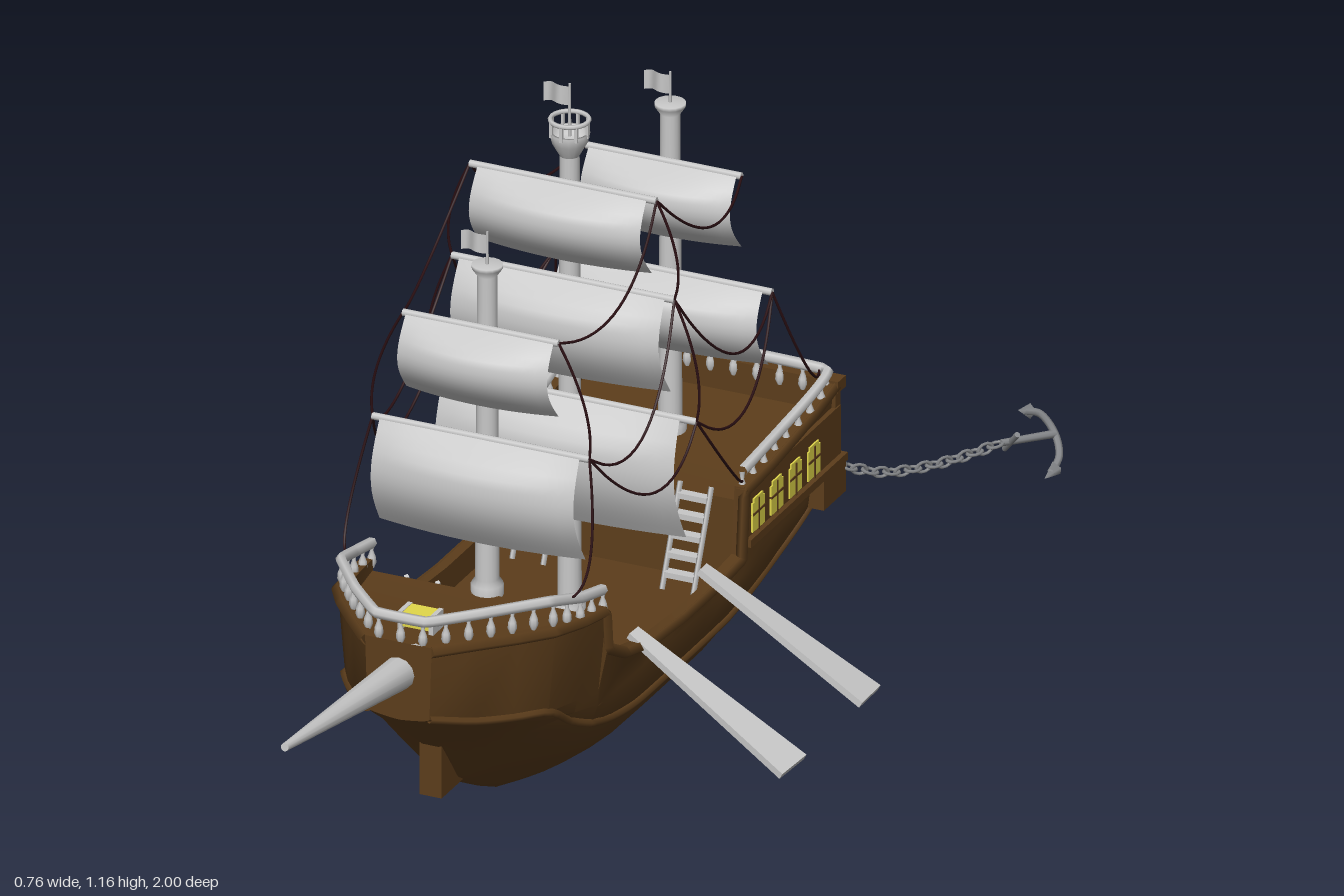
import * as THREE from 'three';
import { toCreasedNormals } from 'three/addons/utils/BufferGeometryUtils.js';

const mat = (name, color, side = THREE.FrontSide) => {
  const m = new THREE.MeshStandardMaterial({ color, side });
  m.name = name;
  return m;
};
const V = (x, y, z) => new THREE.Vector3(x, y, z);

export function createModel() {
  const model = new THREE.Group();
  model.name = 'sailingShip';
  const ship = new THREE.Group();
  ship.name = 'ship';
  ship.position.x = -0.135;
  model.add(ship);

  const wood = mat('brownWood', 0x5c3d1b, THREE.DoubleSide);
  const pale = mat('paleGrey', 0xc8c8c8);
  const cloth = mat('sailCloth', 0xc8c8c8, THREE.DoubleSide);
  const glass = mat('yellowGlass', 0xe2d84a);
  const rope = mat('darkRope', 0x2c1014);
  const iron = mat('iron', 0x85878a);

  const add = (name, geo, m, x = 0, y = 0, z = 0) => {
    const mesh = new THREE.Mesh(geo, m);
    mesh.name = name;
    mesh.position.set(x, y, z);
    ship.add(mesh);
    return mesh;
  };
  const box = (name, w, h, d, m, x, y, z) => add(name, new THREE.BoxGeometry(w, h, d), m, x, y, z);
  const tube = (name, pts, r, m, seg = 24, sides = 6, straight = false) =>
    add(name, new THREE.TubeGeometry(straight
      ? new THREE.CatmullRomCurve3(pts, false, 'catmullrom', 0)
      : new THREE.CatmullRomCurve3(pts), seg, r, sides), m);
  const lathe = (name, prof, m, x, y, z, seg = 16) =>
    add(name, new THREE.LatheGeometry(prof.map(p => new THREE.Vector2(...p)), seg), m, x, y, z);
  // tapered bar between two points
  const rod = (name, a, b, r0, r1, m, sides = 10) => {
    const mesh = add(name, new THREE.CylinderGeometry(r1, r0, a.distanceTo(b), sides), m);
    mesh.position.copy(a).lerp(b, 0.5);
    mesh.quaternion.setFromUnitVectors(V(0, 1, 0), b.clone().sub(a).normalize());
    return mesh;
  };

  // Hull stations: z, top, keel, half width, waterline, fullness, deck
  const stations = [
    [0.565, 0.44, 0.30, 0.06, 0.31, 2, 0.40], [0.50, 0.437, 0.245, 0.115, 0.29, 1.5, 0.40],
    [0.442, 0.432, 0.20, 0.16, 0.28, 1.2, 0.395], [0.38, 0.425, 0.12, 0.197, 0.27, 1.2, 0.39],
    [0.30, 0.412, 0.07, 0.212, 0.26, 1.7, 0.385], [0.235, 0.405, 0.04, 0.22, 0.25, 2.2, 0.385],
    [0.228, 0.335, 0.038, 0.22, 0.25, 2.2, 0.22], [0.16, 0.298, 0.018, 0.22, 0.25, 2.5, 0.22],
    [0.07, 0.276, 0.003, 0.22, 0.25, 2.7, 0.22], [-0.05, 0.268, 0, 0.22, 0.25, 2.7, 0.22],
    [-0.18, 0.268, 0, 0.22, 0.25, 2.7, 0.22], [-0.28, 0.275, 0.002, 0.22, 0.25, 2.7, 0.22],
    [-0.287, 0.395, 0.003, 0.222, 0.25, 2.6, 0.37], [-0.38, 0.40, 0.016, 0.222, 0.25, 2.4, 0.37],
    [-0.47, 0.41, 0.038, 0.222, 0.25, 2.1, 0.375], [-0.55, 0.42, 0.07, 0.222, 0.25, 1.9, 0.38],
    [-0.635, 0.437, 0.112, 0.222, 0.26, 1.7, 0.385],
  ];
  const halfAt = ([, top, keel, w, yw, p], y) => y >= yw
    ? w * (0.93 + 0.07 * (y - yw) / (top - yw))
    : 0.93 * w * (1 - 0.9 * Math.pow((yw - y) / (yw - keel), p));
  const fractions = [1, 0.95, 0.88, 0.78, 0.64, 0.48, 0.3, 0.12, 0];
  const outer = fractions.length + 1;
  const section = st => {
    const [z, top, keel, w, yw, , deck] = st;
    const half = fractions.map(s => {
      const y = yw - s * (yw - keel);
      return [halfAt(st, y), y, z];
    });
    half.push([w, top, z], [w - 0.018, top, z], [w - 0.018, deck, z]);
    return [...half, ...half.slice().reverse().map(([x, y, q]) => [-x, y, q])];
  };
  const rings = stations.map(section), n = rings[0].length;
  const tri = [];
  const quad = (a, b, c, d) => tri.push(...a, ...b, ...c, ...a, ...c, ...d);
  for (let i = 0; i < rings.length - 1; i++)
    for (let j = 0; j < n; j++) {
      const k = (j + 1) % n;
      quad(rings[i][j], rings[i + 1][j], rings[i + 1][k], rings[i][k]);
    }
  const bow = rings[0], stern = rings[rings.length - 1];
  for (let j = 0; j < outer - 1; j++) {
    quad(bow[n - 1 - j], bow[j], bow[j + 1], bow[n - 2 - j]);
    quad(stern[j], stern[n - 1 - j], stern[n - 2 - j], stern[j + 1]);
  }
  const hull = new THREE.BufferGeometry();
  hull.setAttribute('position', new THREE.Float32BufferAttribute(tri, 3));
  add('hullAndDecks', toCreasedNormals(hull, 0.55), wood);
  box('stemPost', 0.04, 0.12, 0.09, wood, 0, 0.168, 0.397);
  box('sternPost', 0.035, 0.12, 0.03, wood, 0, 0.17, -0.62);

  // Gunwale and side strakes
  for (const s of [-1, 1]) {
    tube('gunwale', stations.map(t => V(s * t[3], t[1] - 0.008, t[0])), 0.01, wood, 120, 4, true);
    tube('strake', stations.map(t => {
      const y = Math.min(t[4], t[2] + 0.15);
      return V(s * halfAt(t, y), y, t[0]);
    }), 0.007, wood, 60, 5);
  }

  // Stern gallery with windows
  const pane = (x, y, z, turned) => {
    const g = new THREE.Group();
    g.name = 'window';
    const part = (w, h, d, m, px, py) => {
      const p = new THREE.Mesh(new THREE.BoxGeometry(w, h, d), m);
      p.name = m === glass ? 'pane' : 'mullion';
      p.position.set(px, py, 0);
      g.add(p);
    };
    part(0.046, 0.052, 0.004, glass, 0, 0);
    part(0.034, 0.008, 0.004, glass, 0, 0.029);
    part(0.004, 0.058, 0.007, wood, 0, 0);
    part(0.046, 0.004, 0.007, wood, 0, 0.006);
    g.position.set(x, y, z);
    if (turned) g.rotation.y = Math.PI / 2;
    ship.add(g);
  };
  for (const s of [-1, 1]) {
    box('gallerySide', 0.02, 0.1, 0.36, wood, s * 0.217, 0.342, -0.465);
    box('gallerySill', 0.02, 0.014, 0.37, wood, s * 0.226, 0.298, -0.468);
    for (let i = 0; i < 4; i++) pane(s * 0.228, 0.335, -0.325 - i * 0.071, true);
  }
  box('galleryBack', 0.45, 0.13, 0.02, wood, 0, 0.36, -0.638);
  box('galleryLedge', 0.466, 0.07, 0.085, wood, 0, 0.27, -0.61);
  box('galleryCap', 0.46, 0.02, 0.03, wood, 0, 0.43, -0.643);
  for (let i = 0; i < 4; i++) pane(-0.135 + i * 0.09, 0.348, -0.649, false);

  // Railings with turned balusters
  const railing = (half, count) => {
    const pts = [...half.map(p => V(...p)), ...half.slice().reverse().map(([x, y, z]) => V(-x, y, z))];
    const curve = new THREE.CatmullRomCurve3(pts, false, 'catmullrom', 0.1);
    add('handRail', new THREE.TubeGeometry(curve, 80, 0.0095, 6), pale);
    for (let i = 0; i <= count; i++) {
      const p = curve.getPointAt(i / count);
      lathe('baluster', [[0.004, -0.045], [0.008, -0.035], [0.007, -0.025], [0.003, -0.014], [0.005, 0]],
        pale, p.x, p.y, p.z, 7);
    }
  };
  railing([[0.208, 0.43, 0.225], [0.204, 0.447, 0.30], [0.188, 0.473, 0.385], [0.115, 0.48, 0.485], [0.045, 0.48, 0.555]], 22);
  railing([[0.212, 0.418, -0.30], [0.212, 0.43, -0.45], [0.212, 0.46, -0.625]], 26);

  // Bowsprit and bow lantern
  rod('bowsprit', V(0, 0.375, 0.5), V(0, 0.437, 1.0), 0.032, 0.007, pale, 12);
  box('lantern', 0.05, 0.026, 0.035, glass, 0, 0.447, 0.48);
  for (const s of [-1, 1]) box('lanternEnd', 0.008, 0.032, 0.04, pale, s * 0.028, 0.445, 0.48);

  // Stairs up to the raised decks
  const stairs = (x, z, dir) => {
    for (let i = 0; i < 5; i++)
      box('stairTread', 0.052, 0.01, 0.018, pale, x, 0.245 + i * 0.03, z + dir * i * 0.013);
    for (const s of [-1, 1])
      rod('stairSide', V(x + s * 0.028, 0.22, z - dir * 0.012), V(x + s * 0.028, 0.385, z + dir * 0.058), 0.005, 0.005, pale, 4);
  };
  for (const s of [-1, 1]) { stairs(s * 0.135, -0.228, -1); stairs(s * 0.115, 0.172, 1); }

  // Steering wheel and quarterdeck front rail
  add('wheelRim', new THREE.TorusGeometry(0.025, 0.004, 6, 18), pale, 0, 0.425, -0.345);
  for (let i = 0; i < 4; i++) {
    box('wheelSpoke', 0.074, 0.004, 0.004, pale, 0, 0.425, -0.345).rotation.z = i * Math.PI / 4;
  }
  box('wheelStand', 0.02, 0.055, 0.02, wood, 0, 0.4, -0.36);
  box('deckFrontRail', 0.16, 0.01, 0.014, pale, 0, 0.415, -0.312);
  for (let i = 0; i < 7; i++) box('deckFrontPost', 0.007, 0.045, 0.007, pale, -0.072 + i * 0.024, 0.39, -0.312);

  // Masts with yards, billowing sails and flags
  const flag = (y, z) => {
    rod('flagPole', V(0, y - 0.09, z), V(0, y + 0.005, z), 0.003, 0.002, pale, 6);
    const g = new THREE.PlaneGeometry(0.05, 0.034, 8, 1), p = g.attributes.position;
    for (let i = 0; i < p.count; i++) {
      const d = 0.025 - p.getX(i);
      p.setZ(i, 0.009 * Math.sin(d * 110));
      p.setY(i, p.getY(i) + 0.004 * Math.sin(d * 90));
    }
    g.computeVertexNormals();
    add('flag', g, cloth, -0.025, y - 0.018, z);
  };
  const sail = (y, z, half, drop) => {
    const g = new THREE.PlaneGeometry(2, 1, 14, 12), p = g.attributes.position;
    for (let i = 0; i < p.count; i++) {
      const u = p.getX(i), v = 0.5 - p.getY(i);
      const bulge = 0.034 * Math.sin(Math.PI * v) + 0.03 * (1 - u * u) * Math.min(1, v * 4) * (1 - 0.4 * v) - 0.012 * v;
      p.setXYZ(i, u * half * (1 + 0.03 * v), -v * drop, bulge);
    }
    g.computeVertexNormals();
    add('sail', g, cloth, 0, y, z);
  };
  // z, foot, head, yards [height, half length, sail half width, sail drop]
  const masts = {
    fore: [0.225, 0.38, 0.975, [[0.87, 0.14, 0.133, 0.135], [0.672, 0.195, 0.18, 0.185]]],
    main: [-0.09, 0.21, 1.06, [[0.997, 0.168, 0.152, 0.135], [0.825, 0.2, 0.185, 0.17], [0.613, 0.24, 0.212, 0.215]]],
    mizzen: [-0.475, 0.37, 0.965, [[0.87, 0.14, 0.133, 0.13], [0.672, 0.195, 0.18, 0.135]]],
  };
  for (const [name, [z, foot, head, yards]] of Object.entries(masts)) {
    lathe(name + 'Mast', [[0.027, 0], [0.027, 0.02], [0.02, 0.03], [0.0165, head - foot - 0.02],
      [0.026, head - foot - 0.006], [0.026, head - foot], [0, head - foot]], pale, 0, foot, z);
    for (const [y, halfYard, halfSail, drop] of yards) {
      rod('yard', V(-halfYard, y, z + 0.024), V(halfYard, y, z + 0.024), 0.0065, 0.0065, pale, 8);
      sail(y, z + 0.03, halfSail, drop);
    }
  }
  flag(1.028, 0.225);
  flag(1.16, -0.09);
  flag(1.015, -0.475);

  // Lookout basket
  lathe('lookoutBasket', [[0.016, 1.035], [0.03, 1.06], [0.034, 1.078], [0.029, 1.078], [0.026, 1.062], [0, 1.062]], pale, 0, 0, -0.09);
  add('lookoutRail', new THREE.TorusGeometry(0.032, 0.004, 6, 20), pale, 0, 1.1, -0.09).rotation.x = Math.PI / 2;
  for (let i = 0; i < 8; i++) {
    const a = i * Math.PI / 4;
    box('lookoutPost', 0.005, 0.03, 0.005, pale, 0.032 * Math.cos(a), 1.087, -0.09 + 0.032 * Math.sin(a));
  }

  // Hanging ropes between yard ends, mirrored
  const end = (mast, i) => [masts[mast][3][i][1], masts[mast][3][i][0], masts[mast][0] + 0.024];
  const lines = [
    [end('fore', 0), end('main', 0), 0.06], [end('main', 0), end('mizzen', 0), 0.065],
    [end('fore', 1), end('main', 1), 0.1], [end('main', 1), end('mizzen', 1), 0.1],
    [end('fore', 1), end('main', 2), 0.09], [end('main', 2), end('mizzen', 1), 0.09],
    [[0.2, 0.46, 0.34], end('fore', 1), 0.05], [end('mizzen', 1), [0.2, 0.46, -0.62], 0.06],
    [end('main', 2), [0.212, 0.40, -0.3], 0.03], [end('fore', 0), end('fore', 1), 0.01],
    [end('main', 0), end('main', 1), 0.01], [end('main', 1), end('main', 2), 0.01],
  ];
  for (const s of [-1, 1])
    for (const [a, b, sag] of lines) {
      const pts = [];
      for (let i = 0; i <= 8; i++) {
        const t = i / 8, p = V(...a).lerp(V(...b), t), h = 4 * t * (1 - t);
        pts.push(V(s * (p.x + 0.02 * h), p.y - sag * h, p.z));
      }
      tube('rope', pts, 0.0024, rope, 20, 5);
    }

  // Oars on the left side
  for (const [z0, z1] of [[0.095, 0.118], [-0.17, -0.176]]) {
    const a = V(0.2, 0.295, z0), b = V(0.5, 0.123, z1);
    const g = new THREE.BoxGeometry(0.012, a.distanceTo(b), 0.075), p = g.attributes.position;
    for (let i = 0; i < p.count; i++) if (p.getY(i) < 0) p.setZ(i, p.getZ(i) * 0.36);
    g.computeVertexNormals();
    const oar = add('oar', g, pale);
    oar.position.copy(a).lerp(b, 0.5);
    oar.quaternion.setFromUnitVectors(V(0, 1, 0), b.clone().sub(a).normalize());
  }

  // Anchor chain and anchor
  const chain = new THREE.CatmullRomCurve3([V(0.215, 0.285, -0.64), V(0.275, 0.252, -0.71), V(0.33, 0.243, -0.79), V(0.37, 0.243, -0.86), V(0.395, 0.247, -0.9)]);
  for (let i = 0; i < 16; i++) {
    const link = add('chainLink', new THREE.TorusGeometry(0.009, 0.0028, 5, 10), iron);
    link.scale.x = 1.5;
    link.position.copy(chain.getPointAt((i + 0.5) / 16));
    link.quaternion.setFromUnitVectors(V(1, 0, 0), chain.getTangentAt((i + 0.5) / 16));
    link.rotateX(i % 2 ? Math.PI / 2 : 0);
  }
  const crown = V(0.45, 0.236, -0.99);
  rod('anchorShank', V(0.395, 0.247, -0.9), crown, 0.006, 0.007, iron, 8);
  rod('anchorStock', V(0.39, 0.225, -0.925), V(0.425, 0.268, -0.9), 0.005, 0.005, iron, 8);
  const tips = [V(0.468, 0.192, -0.935), V(0.405, 0.278, -0.968)];
  tube('anchorArms', [tips[0], V(0.468, 0.208, -0.968), crown, V(0.424, 0.268, -0.988), tips[1]], 0.0065, iron, 24, 7);
  for (const t of tips) {
    const fluke = add('anchorFluke', new THREE.ConeGeometry(0.013, 0.03, 4), iron);
    fluke.position.copy(t);
    fluke.quaternion.setFromUnitVectors(V(0, 1, 0), V(-0.3, (t.y - 0.236) * 8, 0.8).normalize());
  }
  return model;
}
